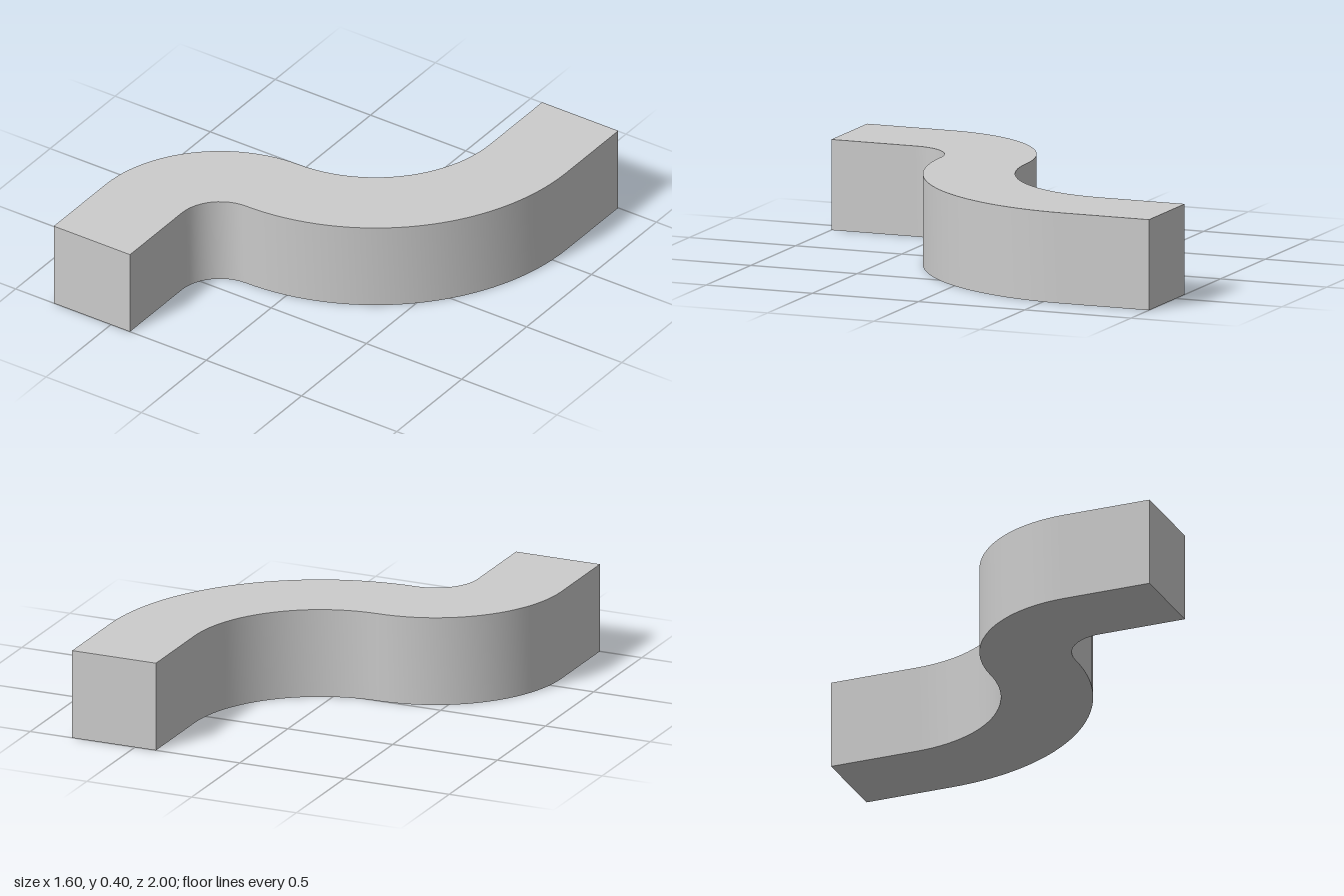
import * as THREE from 'three';
import { toCreasedNormals } from 'three/addons/utils/BufferGeometryUtils.js';

const WIDTH = 0.4, HEIGHT = 0.4;

// Points along an arc, both ends included
function arc(cx, cy, radius, from, to, segments) {
  return Array.from({ length: segments + 1 }, (_, i) => {
    const a = from + (to - from) * i / segments;
    return new THREE.Vector2(cx + radius * Math.cos(a), cy + radius * Math.sin(a));
  });
}

export function createModel() {
  const group = new THREE.Group();
  group.name = 'sCurveTrack';

  // Plan outline (shape y = -z): straight, tight bend, wide bend, straight
  const q = Math.PI / 2, inner = 0.6;
  const outline = [
    new THREE.Vector2(-0.8, -1),
    new THREE.Vector2(-0.4, -1),
    ...arc(-0.2, -0.6, inner - WIDTH, 2 * q, q, 12),
    ...arc(-0.2, 0.6, inner + WIDTH, -q, 0, 32).slice(1),
    new THREE.Vector2(0.8, 1),
    new THREE.Vector2(0.4, 1),
    ...arc(-0.2, 0.6, inner, 0, -q, 24),
    ...arc(-0.2, -0.6, inner, q, 2 * q, 24).slice(1),
  ];

  // Extrude upwards; smooth bends, sharp edges
  const extruded = new THREE.ExtrudeGeometry(new THREE.Shape(outline), { depth: HEIGHT, bevelEnabled: false });
  extruded.rotateX(-Math.PI / 2);
  const track = new THREE.Mesh(
    toCreasedNormals(extruded, Math.PI / 6),
    new THREE.MeshStandardMaterial({ color: 0xcccccc })
  );
  track.name = 'curvedBlock';
  group.add(track);
  return group;
}
